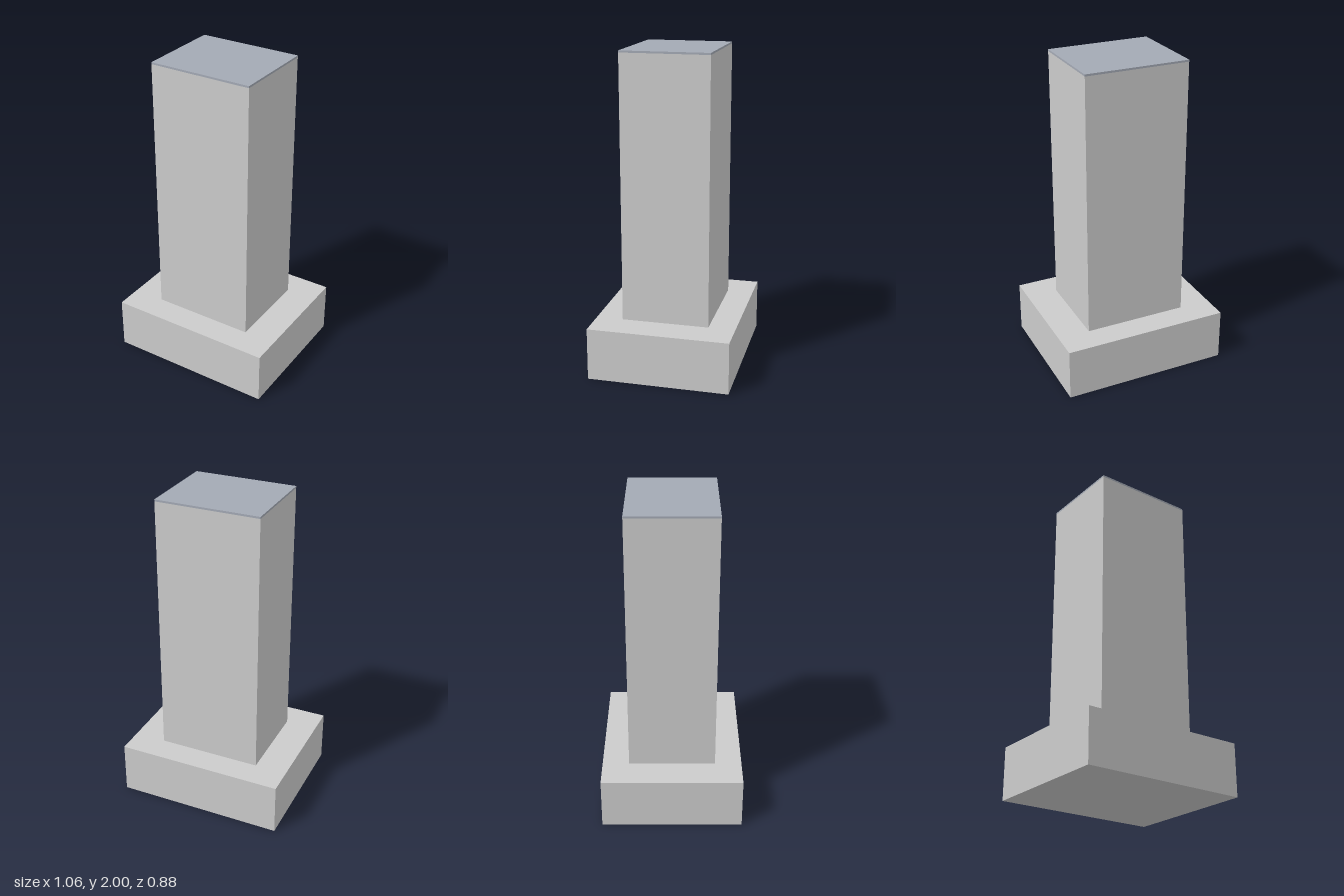
import * as THREE from 'three';

export function createModel() {
  const group = new THREE.Group();
  group.name = 'pedestal';
  const grey = new THREE.MeshStandardMaterial({ color: 0xcccccc });
  const blueGrey = new THREE.MeshStandardMaterial({ color: 0xa3a9b4 });

  // Box resting on a given height
  const addBlock = (name, width, depth, bottom, top, material) => {
    const mesh = new THREE.Mesh(new THREE.BoxGeometry(width, top - bottom, depth), material);
    mesh.name = name;
    mesh.position.y = (bottom + top) / 2;
    group.add(mesh);
  };

  // Wide footing, tall shaft and thin flush cap
  addBlock('base', 1.06, 0.884, 0, 0.33, grey);
  addBlock('column', 0.655, 0.547, 0.33, 1.988, grey);
  addBlock('topPlate', 0.655, 0.547, 1.988, 2, blueGrey);

  return group;
}
